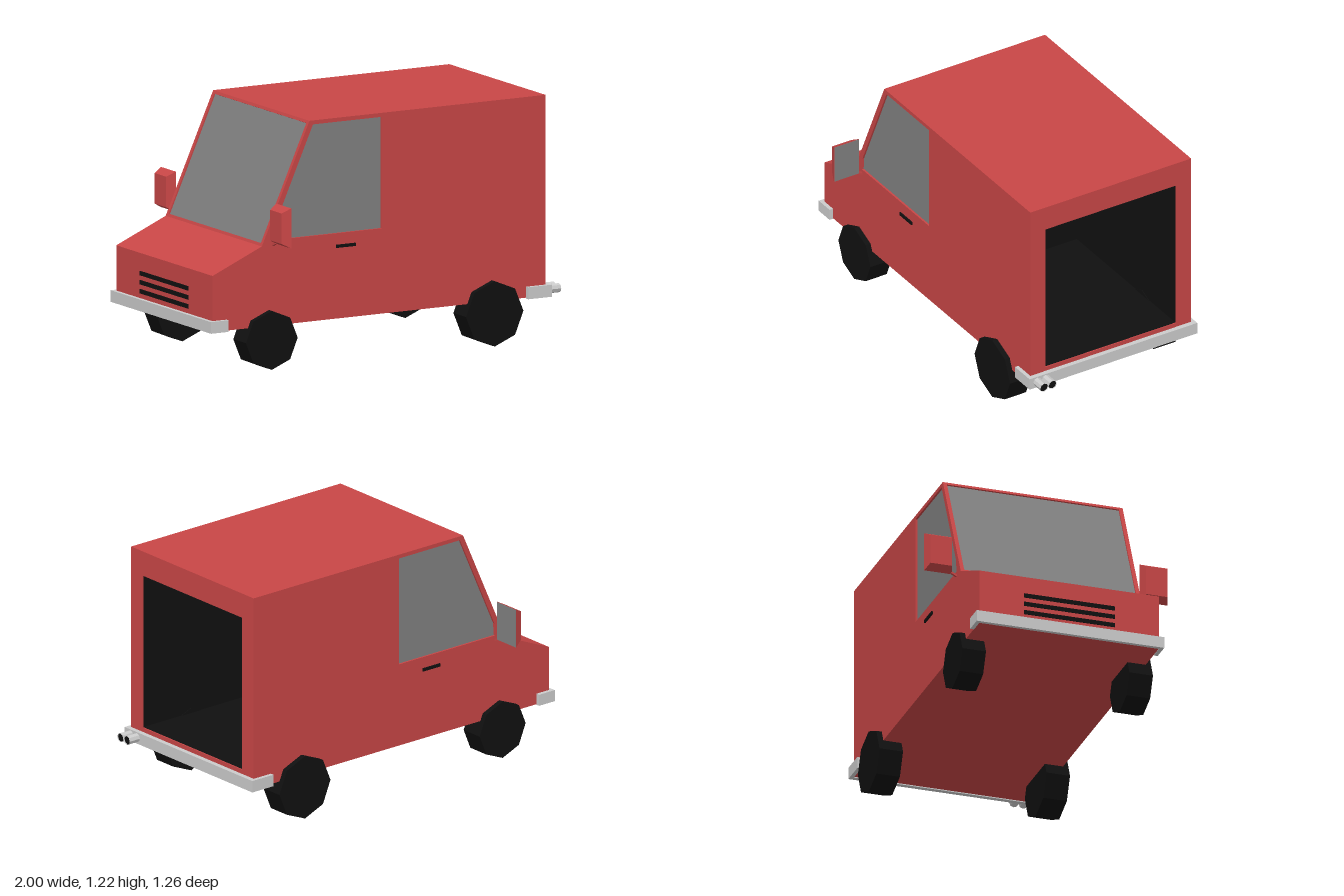
import * as THREE from 'three';

const mat = (color) => new THREE.MeshStandardMaterial({ color, flatShading: true, side: THREE.DoubleSide });

export function createModel() {
  const van = new THREE.Group();
  const red = mat(0xc84646), black = mat(0x101010), glass = mat(0x808080), grey = mat(0xcccccc);

  const add = (name, geometry, material, x = 0, y = 0, z = 0) => {
    const mesh = new THREE.Mesh(geometry, material);
    mesh.name = name;
    mesh.position.set(x, y, z);
    van.add(mesh);
    return mesh;
  };
  // Box given by its limits on each axis
  const box = (name, material, x0, x1, y0, y1, z0, z1) =>
    add(name, new THREE.BoxGeometry(x1 - x0, y1 - y0, z1 - z0), material,
      (x0 + x1) / 2, (y0 + y1) / 2, (z0 + z1) / 2);
  const vectors = (points) => points.map(([x, y]) => new THREE.Vector2(x, y));
  const extrude = (points, depth, hole) => {
    const shape = new THREE.Shape(vectors(points));
    if (hole) shape.holes.push(new THREE.Path(vectors(hole)));
    return new THREE.ExtrudeGeometry(shape, { depth, bevelEnabled: false });
  };

  // Side profile of the body, nose towards -x
  const W = 0.465, IN = 0.445;
  const top = [-0.43, 1.22], base = [-0.70, 0.62];
  const profile = [[-0.98, 0.22], [0.91, 0.22], [0.91, 1.22], top, base, [-0.98, 0.50]];
  const sideWindow = [[-0.635, 0.645], [-0.02, 0.645], [-0.02, 1.2], [-0.41, 1.2], [-0.63, 0.71]];

  // Point on the windscreen slope: distance along from an end, depth below the surface
  const len = Math.hypot(top[0] - base[0], top[1] - base[1]);
  const dx = (top[0] - base[0]) / len, dy = (top[1] - base[1]) / len;
  const slope = (end, along, depth) => [end[0] + dx * along + dy * depth, end[1] + dy * along - dx * depth];

  // Cab core with a shallow recess for the windscreen
  const rim = 0.015, sink = 0.014;
  add('cab', extrude([
    [-0.98, 0.22], [0, 0.22], [0, 1.22], top,
    slope(top, -rim, 0), slope(top, -rim, sink), slope(base, rim, sink), slope(base, rim, 0),
    base, [-0.98, 0.50],
  ], 2 * IN), red, 0, 0, -IN);
  add('windscreen', extrude([
    slope(top, -rim, sink), slope(top, -rim, sink / 2), slope(base, rim, sink / 2), slope(base, rim, sink),
  ], 2 * IN), glass, 0, 0, -IN);

  // Cargo shell, open at the rear, with a dark lining
  const rect = (w, y0, y1) => [[-w, y0], [w, y0], [w, y1], [-w, y1]];
  add('cargoShell', extrude(rect(IN, 0.22, 1.22), 0.91, rect(0.378, 0.297, 1.093)).rotateY(Math.PI / 2), red);
  const lining = new THREE.BoxGeometry(0.905, 0.79, 0.75);
  lining.setIndex(Array.from(lining.index.array).slice(6)); // drops the rear face
  add('cargoLining', lining, black, 0.456, 0.695, 0);

  // Parts repeated on both sides
  for (const s of [1, -1]) {
    const side = s > 0 ? 'left' : 'right';
    const span = (a, b) => (s > 0 ? [a, b] : [-b, -a]);

    add(side + 'SidePanel', extrude(profile, W - IN, sideWindow), red, 0, 0, span(IN, W)[0]);
    add(side + 'SideWindow', extrude(sideWindow, 0.01), glass, 0, 0, span(IN, 0.455)[0]);
    box(side + 'DoorHandle', black, -0.28, -0.17, 0.573, 0.588, ...span(0.46, 0.473));

    // Eight-sided wheels
    for (const [name, x, r] of [['FrontWheel', -0.66, 0.147], ['RearWheel', 0.605, 0.163]]) {
      const wheel = new THREE.CylinderGeometry(r, r, 0.122, 8).rotateX(Math.PI / 2);
      add(side + name, wheel, black, x, r + (r < 0.15 ? 0.006 : 0), s * 0.432);
    }

    // Mirror housing tapering towards the nose
    const housing = new THREE.BoxGeometry(0.045, 0.2, 0.145);
    const p = housing.attributes.position;
    for (let i = 0; i < p.count; i++) {
      if (p.getX(i) < 0) p.setXYZ(i, p.getX(i), p.getY(i) * 0.76, p.getZ(i) * 0.76);
    }
    add(side + 'MirrorHousing', housing, red, -0.6525, 0.73, s * 0.5575);
    box(side + 'MirrorGlass', glass, -0.631, -0.628, 0.632, 0.828, ...span(0.487, 0.628));
    const arm = box(side + 'MirrorArm', red, -0.642, -0.63, 0.622, 0.632, ...span(0.455, 0.495));
    arm.rotation.x = -s * 0.45;

    // Wrap-around bumper ends
    box(side + 'FrontBumperEnd', grey, -0.98, -0.9, 0.217, 0.275, ...span(W, 0.485));
    box(side + 'RearBumperEnd', grey, 0.8, 0.91, 0.215, 0.275, ...span(W, 0.485));
  }
  box('frontBumper', grey, -1, -0.98, 0.217, 0.275, -0.485, 0.485);
  box('rearBumper', grey, 0.91, 0.935, 0.215, 0.275, -0.485, 0.485);

  // Grille slots on the nose
  for (const y of [0.31, 0.355, 0.4]) box('grilleSlot', black, -0.983, -0.975, y - 0.011, y + 0.011, -0.235, 0.235);

  // Twin exhaust pipes with dark bores
  for (const z of [0.392, 0.441]) {
    add('exhaustPipe', new THREE.CylinderGeometry(0.023, 0.023, 0.07, 8, 1, true).rotateZ(Math.PI / 2),
      grey, 0.965, 0.247, z);
    add('exhaustBore', new THREE.CircleGeometry(0.022, 8).rotateY(Math.PI / 2), black, 0.995, 0.247, z);
  }
  return van;
}
